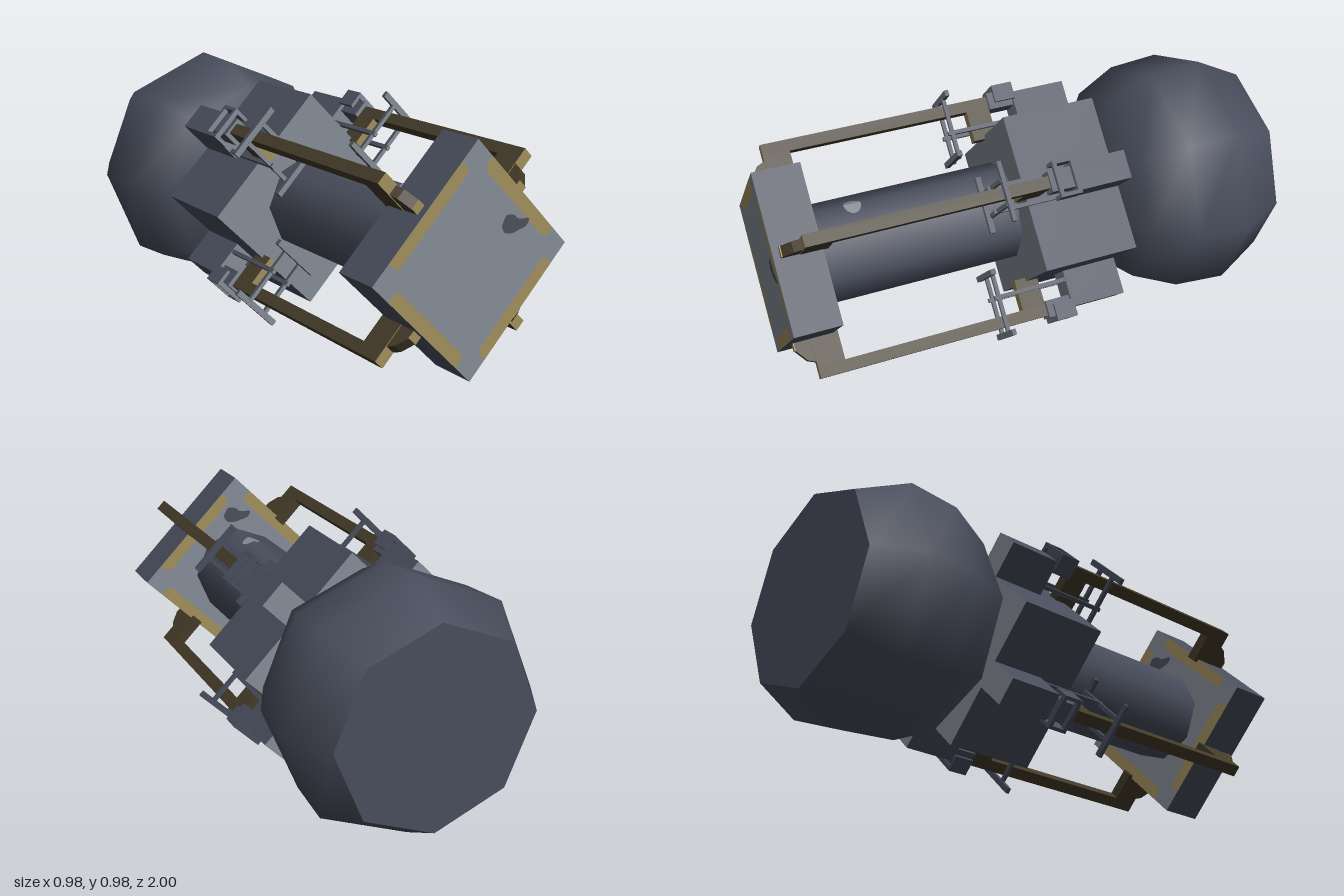
import * as THREE from 'three';

const mat = (name, color, side = THREE.FrontSide) => {
  const m = new THREE.MeshStandardMaterial({ color, side });
  m.name = name;
  return m;
};

export function createModel() {
  const dark = mat('dark slate', 0x484d5c);
  const light = mat('light grey', 0x858c96);
  const brown = mat('dark brown', 0x433a28);
  const tan = mat('ochre', 0xa08e5c);
  const stain = mat('stain', 0x4a4f5a);

  const model = new THREE.Group();
  model.name = 'spacecraft';
  const hull = new THREE.Group();
  hull.name = 'hull';
  hull.position.y = 0.49;
  model.add(hull);

  const add = (parent, name, geo, material, x = 0, y = 0, z = 0) => {
    const m = new THREE.Mesh(geo, material);
    m.name = name;
    m.position.set(x, y, z);
    parent.add(m);
    return m;
  };
  // Box given by its ranges; sides, front and back may differ in colour
  const box = (parent, name, [x0, x1], [y0, y1], [z0, z1], side, front = side, back = side) =>
    add(parent, name, new THREE.BoxGeometry(x1 - x0, y1 - y0, z1 - z0),
      [side, side, side, side, front, back], (x0 + x1) / 2, (y0 + y1) / 2, (z0 + z1) / 2);

  // Rear eight-sided tank with a flat back
  const profile = [[0.39, -1], [0.49, -0.81], [0.475, -0.6], [0.393, -0.425], [0.1, -0.343], [0.001, -0.325]];
  const tank = new THREE.LatheGeometry(profile.map(p => new THREE.Vector2(...p)), 8);
  add(hull, 'rearTank', tank.rotateX(Math.PI / 2), dark);
  add(hull, 'tankBack', new THREE.CircleGeometry(0.39, 8).rotateY(Math.PI), dark, 0, 0, -1);

  // Central body
  add(hull, 'centralBody', new THREE.CylinderGeometry(0.195, 0.195, 0.8, 8, 1, true).rotateX(Math.PI / 2),
    dark, 0, 0, 0.425);

  // Square modules, standing on their corners
  const H = 0.304;
  const modules = new THREE.Group();
  modules.name = 'modules';
  modules.rotation.z = Math.PI / 4;
  hull.add(modules);
  box(modules, 'frontModule', [-H, H], [-H, H], [0.82, 1], dark, light, light);
  box(modules, 'rearModule', [-H, H], [-H, H], [-0.345, 0.03], dark, light, light);

  // Painted strip with rounded inner corners
  const strip = new THREE.Shape();
  strip.moveTo(-0.21, H);
  strip.lineTo(-0.21, 0.28);
  strip.quadraticCurveTo(-0.21, 0.253, -0.18, 0.253);
  strip.lineTo(0.18, 0.253);
  strip.quadraticCurveTo(0.21, 0.253, 0.21, 0.28);
  strip.lineTo(0.21, H);
  const stripGeo = new THREE.ShapeGeometry(strip, 6);

  // Foot of the strut: a sloped bracket
  const wedge = new THREE.Shape([[0.9, 0.3], [0.97, 0.3], [0.97, 0.335], [0.935, 0.38], [0.9, 0.395]]
    .map(p => new THREE.Vector2(...p)));
  const wedgeGeo = new THREE.ExtrudeGeometry(wedge, { depth: 0.04, bevelEnabled: false })
    .rotateY(-Math.PI / 2).translate(0.02, 0, 0);

  // Four identical sides; local y points outwards
  for (let k = 0; k < 4; k++) {
    const side = new THREE.Group();
    side.name = 'side' + (k + 1);
    side.rotation.z = Math.PI / 4 + k * Math.PI / 2;
    hull.add(side);

    add(side, 'frontStrip', stripGeo, tan, 0, 0, 1.0004);
    add(side, 'backStrip', stripGeo.clone().rotateY(Math.PI), tan, 0, 0, 0.8196);

    // Strut
    const w = [-0.023, 0.023];
    box(side, 'strut', w, [0.412, 0.458], [-0.06, 0.905], brown, tan, brown);
    box(side, 'strutFrontLeg', w, [0.29, 0.412], [0.8, 0.905], brown, tan, brown);
    box(side, 'strutRearLeg', w, [0.29, 0.412], [-0.02, 0.075], brown, tan, brown);
    add(side, 'strutBracket', wedgeGeo, brown);
    box(side, 'bracketTip', [-0.02, 0.02], [0.3, 0.335], [0.968, 0.974], tan);

    // Mounting block and clamp
    box(side, 'mountBlock', [-0.055, 0.055], [0.3, 0.45], [-0.345, -0.12], dark, light, light);
    box(side, 'clampBase', [-0.04, 0.04], [0.4, 0.468], [-0.12, -0.02], dark, light, dark);
    for (const z of [-0.125, -0.055])
      box(side, 'clampBar', [-0.07, 0.07], [0.468, 0.488], [z, z + 0.015], dark, light, dark);
    for (const s of [-1, 1]) {
      box(side, 'clampEdge', [s * 0.063 - 0.007, s * 0.063 + 0.007], [0.42, 0.488], [-0.125, -0.04],
        dark, light, dark);
      // Guide frame around the strut
      const t = [s * 0.045 - 0.008, s * 0.045 + 0.008];
      box(side, 'guideRail', t, [0.33, 0.346], [-0.12, 0.18], dark, light, dark);
      box(side, 'guidePost', t, [0.23, 0.48], [0.155, 0.17], dark, light, dark);
    }
    box(side, 'guideOuterBar', [-0.112, 0.112], [0.474, 0.498], [0.152, 0.168], dark, light, dark);
    box(side, 'guideInnerBar', [-0.11, 0.11], [0.23, 0.252], [0.165, 0.185], dark, light, dark);
  }

  // Stains on the front module
  const blob = new THREE.Shape();
  blob.moveTo(0.12, 0.11);
  blob.splineThru([[0.14, 0.145], [0.175, 0.143], [0.2, 0.125], [0.245, 0.12], [0.235, 0.095],
    [0.2, 0.085], [0.17, 0.078], [0.135, 0.085], [0.12, 0.11]].map(p => new THREE.Vector2(...p)));
  const blobGeo = new THREE.ShapeGeometry(blob, 4);
  add(hull, 'frontStain', blobGeo, stain, 0, 0, 1.0006);
  add(hull, 'backStain', blobGeo.clone().rotateY(Math.PI).translate(0.18, 0.15, 0), stain, 0, 0, 0.8194);

  // Pale patch folded over the top ridge of the body
  for (const s of [-1, 1]) {
    const half = new THREE.CircleGeometry(0.034, 8, s > 0 ? -Math.PI / 2 : Math.PI / 2, Math.PI)
      .rotateX(-Math.PI / 2).scale(1.25, 1, 1).rotateZ(-s * Math.PI / 8);
    add(hull, 'bodyPatch', half, light, 0, 0.1965, 0.645);
  }
  return model;
}
